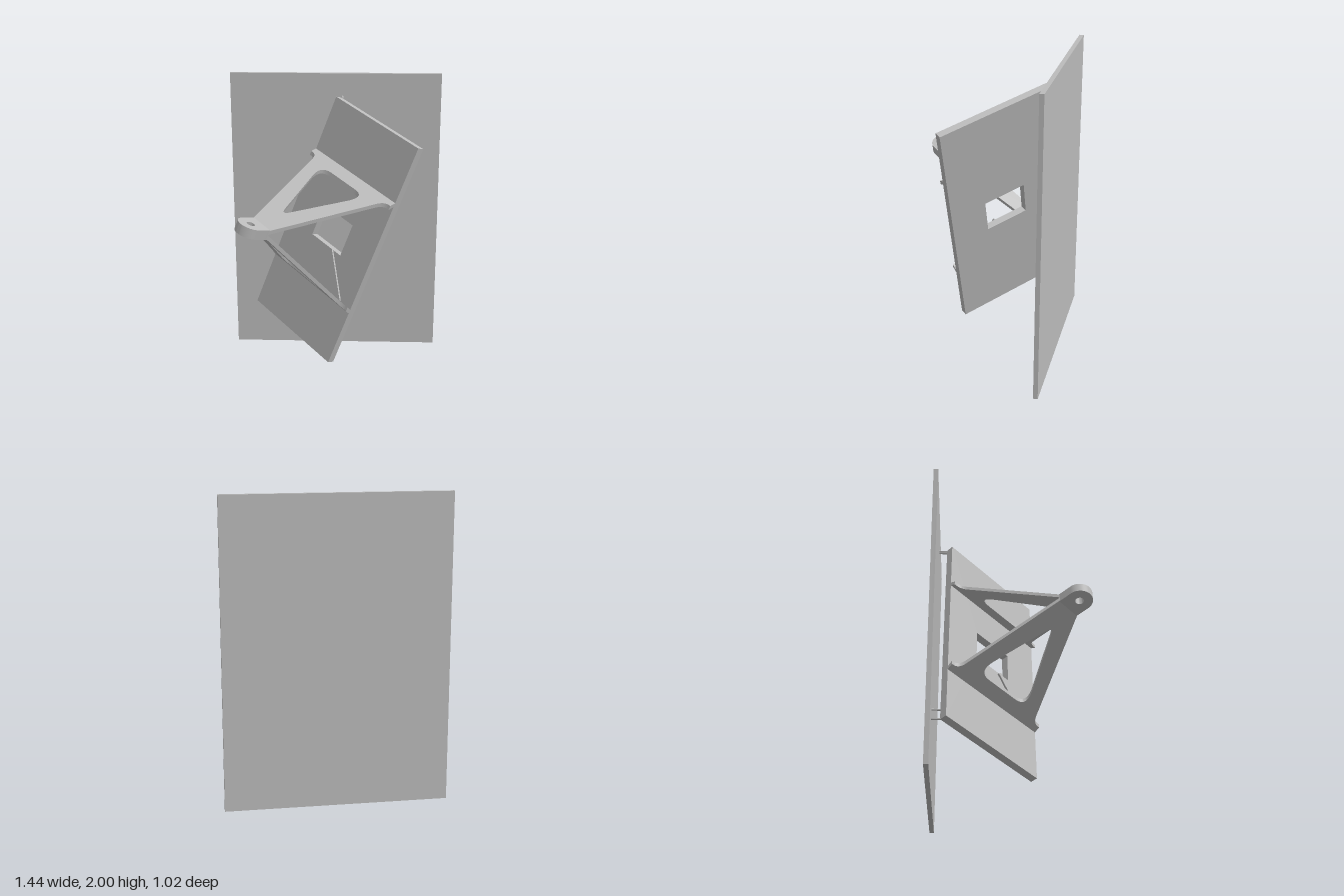
import * as THREE from 'three';
import { toCreasedNormals } from 'three/addons/utils/BufferGeometryUtils.js';

const gray = new THREE.MeshStandardMaterial({ color: 0xbcbcbc });
gray.name = 'plain gray';

function add(parent, name, geometry) {
  const mesh = new THREE.Mesh(geometry, gray);
  mesh.name = name;
  parent.add(mesh);
  return mesh;
}

// Closed polygon [x, y, radius] with rounded corners
function roundedPath(path, corners) {
  const n = corners.length;
  corners.forEach(([x, y, cut], i) => {
    const p = new THREE.Vector2(x, y);
    const toward = (q) => new THREE.Vector2(q[0], q[1]).sub(p).setLength(cut).add(p);
    const a = toward(corners[(i + n - 1) % n]);
    const b = toward(corners[(i + 1) % n]);
    if (i === 0) path.moveTo(a.x, a.y);
    else path.lineTo(a.x, a.y);
    path.quadraticCurveTo(x, y, b.x, b.y);
  });
  path.closePath();
  return path;
}

// Extrude a plan drawn in x-z downward from top, sloping down along z
function slab(shape, depth, top, slope) {
  const g = new THREE.ExtrudeGeometry(shape, { depth, bevelEnabled: false, curveSegments: 14 });
  const p = g.attributes.position;
  for (let i = 0; i < p.count; i++) {
    const z = p.getY(i);
    p.setXYZ(i, p.getX(i), top - slope * z - p.getZ(i), z);
  }
  g.deleteAttribute('normal');
  g.computeVertexNormals();
  return toCreasedNormals(g, 0.5);
}

// Tapered arm with spread feet and a rounded triangular window
function armGeometry() {
  const s = new THREE.Shape();
  s.moveTo(-0.405, 0);
  s.lineTo(0.405, 0);
  s.lineTo(0.405, 0.037);
  s.lineTo(0.385, 0.037);
  s.quadraticCurveTo(0.345, 0.042, 0.328, 0.085);
  s.lineTo(0.085, 0.665);
  s.lineTo(-0.085, 0.665);
  s.lineTo(-0.328, 0.085);
  s.quadraticCurveTo(-0.345, 0.042, -0.385, 0.037);
  s.lineTo(-0.405, 0.037);
  s.closePath();
  s.holes.push(roundedPath(new THREE.Path(), [[-0.23, 0.085, 0.11], [0, 0.535, 0.06], [0.23, 0.085, 0.11]]));
  return slab(s, 0.028, 0.415, 0.58);
}

export function createModel() {
  const model = new THREE.Group();
  model.name = 'bracket assembly';

  // Upright back plate
  add(model, 'backPlate', new THREE.BoxGeometry(1.44, 2, 0.03)).position.set(0, 1, -0.49);

  // Thin pins between the back plate and the rear edge of the panel
  for (const [x, y] of [[-0.525, 0.35], [-0.497, 0.42], [0.04, 1.823], [0.048, 1.842]]) {
    const pin = add(model, 'pin', new THREE.CylinderGeometry(0.006, 0.006, 0.07, 10));
    pin.rotation.x = Math.PI / 2;
    pin.position.set(x, y, -0.445);
  }

  // Everything on the tilted panel shares one frame, with z as the panel's face normal
  const tilted = new THREE.Group();
  tilted.name = 'tiltedPanelAssembly';
  tilted.position.set(-0.01, 1.007, -0.1);
  tilted.rotation.set(0, -Math.PI / 4, -0.363, 'ZYX');
  model.add(tilted);

  // Panel with a rectangular opening
  const rect = (path, w, h) => path.setFromPoints(
    [[-w, -h], [w, -h], [w, h], [-w, h]].map(([x, y]) => new THREE.Vector2(x / 2, y / 2)));
  const board = rect(new THREE.Shape(), 0.81, 1.605);
  board.holes.push(rect(new THREE.Path(), 0.3, 0.23));
  const panel = add(tilted, 'panel', new THREE.ExtrudeGeometry(board, { depth: 0.05, bevelEnabled: false }));
  panel.position.z = -0.05;

  // Two mirrored arms meeting at the knuckle
  const arm = armGeometry();
  add(tilted, 'upperArm', arm);
  add(tilted, 'lowerArm', arm).rotation.z = Math.PI;

  // Knuckle with pivot hole
  const k = new THREE.Shape();
  k.moveTo(-0.085, 0.66);
  k.lineTo(0.085, 0.66);
  k.lineTo(0.085, 0.755);
  k.absarc(0, 0.755, 0.085, 0, Math.PI, false);
  k.closePath();
  k.holes.push(new THREE.Path().absarc(0, 0.755, 0.027, 0, Math.PI * 2, true));
  add(tilted, 'knuckle', slab(k, 0.066, 0.033, 0));

  // Slim diagonal strip from the opening to the lower arm's foot
  const from = new THREE.Vector2(0.06, -0.12), to = new THREE.Vector2(0.29, -0.385);
  const strip = add(tilted, 'strip', new THREE.BoxGeometry(from.distanceTo(to), 0.03, 0.012));
  strip.position.set((from.x + to.x) / 2, (from.y + to.y) / 2, 0.006);
  strip.rotation.z = to.clone().sub(from).angle();

  return model;
}
